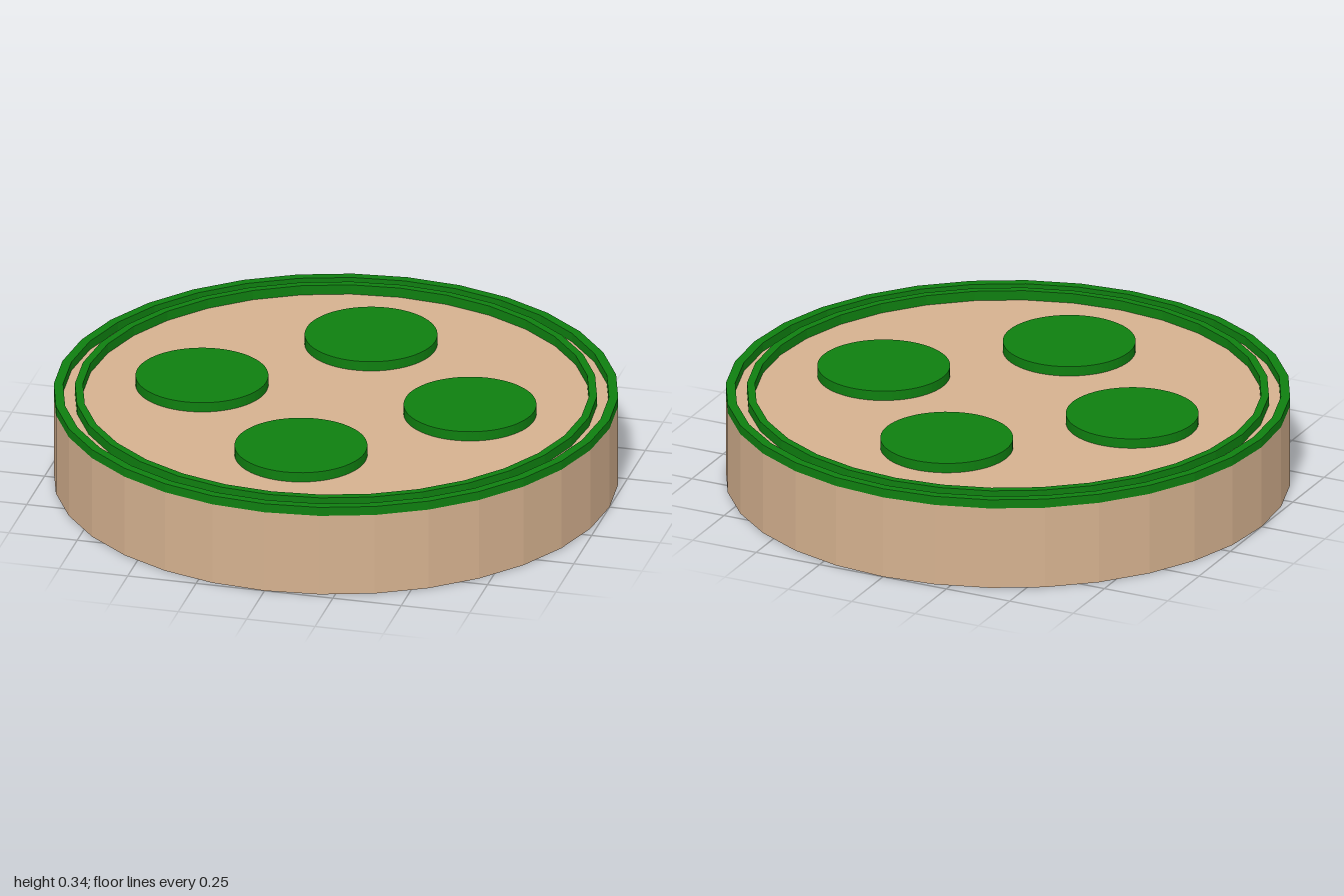
import * as THREE from 'three';

const SIDES = 32;
const BODY_TOP = 0.305;

export function createModel() {
  const tan = new THREE.MeshStandardMaterial({ color: 0xd5b18f, flatShading: true });
  tan.name = 'tan';
  const green = new THREE.MeshStandardMaterial({ color: 0x0f7f10, flatShading: true });
  green.name = 'green';

  const model = new THREE.Group();
  model.name = 'roundPlate';

  const add = (name, geometry, material, x = 0, y = 0, z = 0) => {
    const mesh = new THREE.Mesh(geometry, material);
    mesh.name = name;
    mesh.position.set(x, y, z);
    model.add(mesh);
  };

  // Square-edged ring standing on the body
  const ring = (inner, outer, height) => new THREE.LatheGeometry([
    [inner, 0], [outer, 0], [outer, height], [inner, height], [inner, 0],
  ].map(([r, y]) => new THREE.Vector2(r, y)), SIDES);

  // Faceted drum
  add('body', new THREE.CylinderGeometry(1, 1, BODY_TOP, SIDES), tan, 0, BODY_TOP / 2, 0);

  // Two concentric rims
  add('outerRim', ring(0.967, 1, 0.033), green, 0, BODY_TOP, 0);
  add('innerRim', ring(0.897, 0.925, 0.036), green, 0, BODY_TOP, 0);

  // Four round studs, one toward each side
  const stud = new THREE.CylinderGeometry(0.235, 0.235, 0.036, 64);
  ['front', 'left', 'back', 'right'].forEach((side, i) => {
    const a = i * Math.PI / 2;
    add(side + 'Stud', stud, green, 0.49 * Math.sin(a), BODY_TOP + 0.018, 0.49 * Math.cos(a));
  });

  return model;
}
